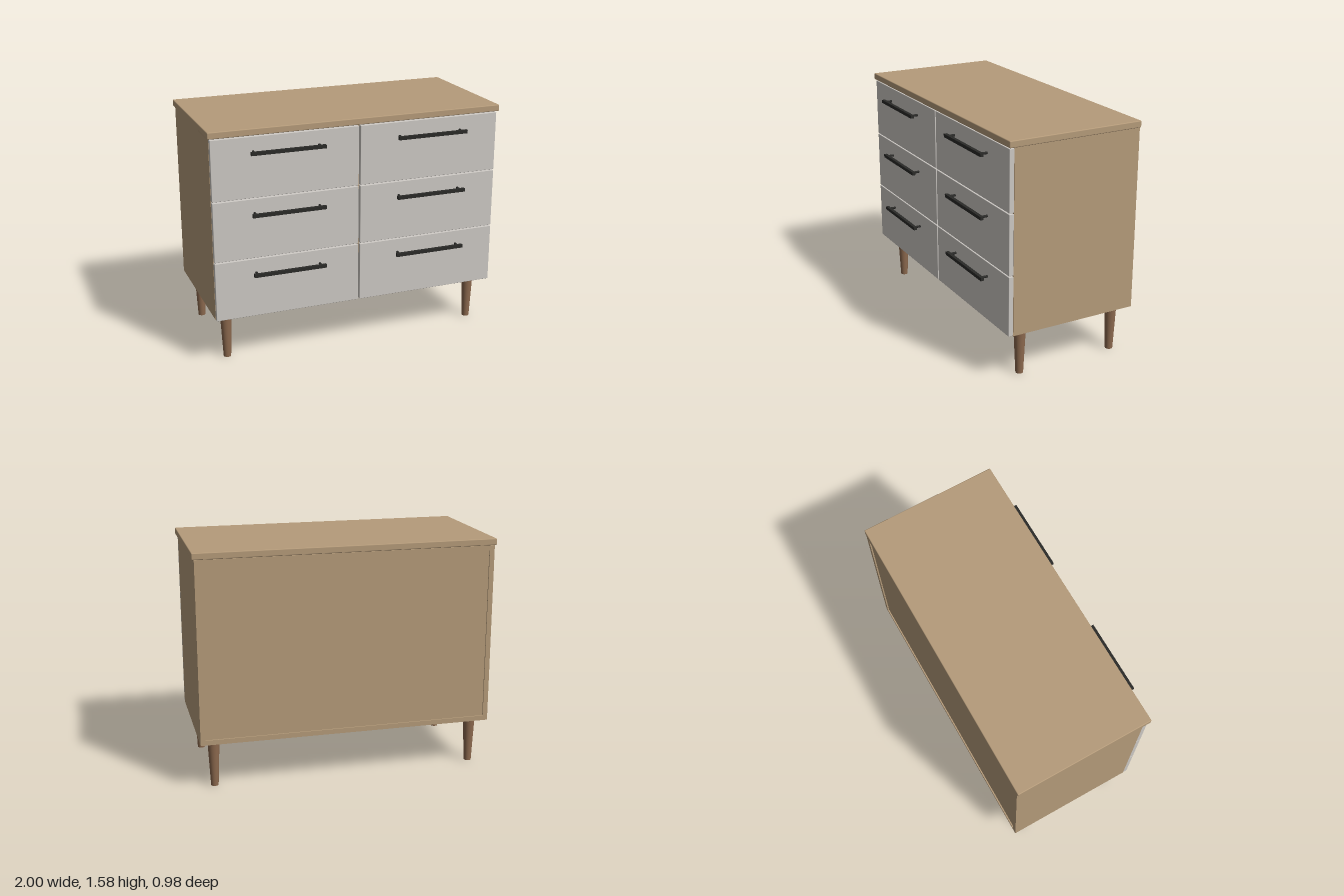
import * as THREE from 'three';
import { RoundedBoxGeometry } from 'three/addons/geometries/RoundedBoxGeometry.js';

const wood = new THREE.MeshStandardMaterial({ color: 0xb59b7a });
const paint = new THREE.MeshStandardMaterial({ color: 0xcdc9c4 });
const black = new THREE.MeshStandardMaterial({ color: 0x2a2a28 });
const darkWood = new THREE.MeshStandardMaterial({ color: 0x8c694e });

// Box given by its minimum and maximum on each axis; radius softens the edges
function slab(name, material, [x0, x1], [y0, y1], [z0, z1], radius = 0) {
  const size = [x1 - x0, y1 - y0, z1 - z0];
  const geometry = radius
    ? new RoundedBoxGeometry(...size, 2, radius)
    : new THREE.BoxGeometry(...size);
  const mesh = new THREE.Mesh(geometry, material);
  mesh.name = name;
  mesh.position.set((x0 + x1) / 2, (y0 + y1) / 2, (z0 + z1) / 2);
  return mesh;
}

// Bar handle on two posts, centred on x and y
function createHandle(x, y) {
  const handle = new THREE.Group();
  handle.name = 'handle';
  handle.add(slab('handleBar', black, [-0.245, 0.245], [-0.011, 0.011], [0.47, 0.492]));
  for (const side of [-1, 1]) {
    const post = new THREE.Mesh(new THREE.CylinderGeometry(0.008, 0.008, 0.05, 16), black);
    post.name = 'handlePost';
    post.rotation.x = Math.PI / 2;
    post.position.set(side * 0.217, 0, 0.452);
    handle.add(post);
  }
  handle.position.set(x, y, 0);
  return handle;
}

export function createModel() {
  const model = new THREE.Group();
  model.name = 'dresser';

  // Carcass: side, top and bottom boards around a core set back at the rear
  const W = 0.985, T = 0.033, Y0 = 0.32, Y1 = 1.536, depth = [-0.491, 0.398];
  const carcass = new THREE.Group();
  carcass.name = 'carcass';
  carcass.add(
    slab('leftSide', wood, [W - T, W], [Y0, Y1], depth),
    slab('rightSide', wood, [-W, T - W], [Y0, Y1], depth),
    slab('bottomBoard', wood, [T - W, W - T], [Y0, Y0 + T], depth),
    slab('upperBoard', wood, [T - W, W - T], [Y1 - T, Y1], depth),
    slab('backPanelAndCore', wood, [T - W, W - T], [Y0 + T, Y1 - T], [-0.482, 0.396])
  );
  model.add(carcass);

  // Overhanging top
  model.add(slab('topBoard', wood, [-1, 1], [Y1, 1.58], [-0.492, 0.438], 0.006));

  // Two columns of three drawers
  for (const side of [-1, 1]) {
    for (let row = 0; row < 3; row++) {
      const y = 0.323 + row * 0.404;
      const drawer = new THREE.Group();
      drawer.name = 'drawer';
      const x = side * 0.495;
      drawer.add(
        slab('drawerFront', paint, [x - 0.489, x + 0.489], [y, y + 0.397], [0.398, 0.43], 0.003),
        createHandle(x, y + 0.302)
      );
      model.add(drawer);
    }
  }

  // Tapered legs
  for (const x of [-0.89, 0.89]) {
    for (const z of [0.297, -0.394]) {
      const leg = new THREE.Mesh(new THREE.CylinderGeometry(0.04, 0.025, Y0, 32), darkWood);
      leg.name = 'leg';
      leg.position.set(x, Y0 / 2, z);
      model.add(leg);
    }
  }
  return model;
}
